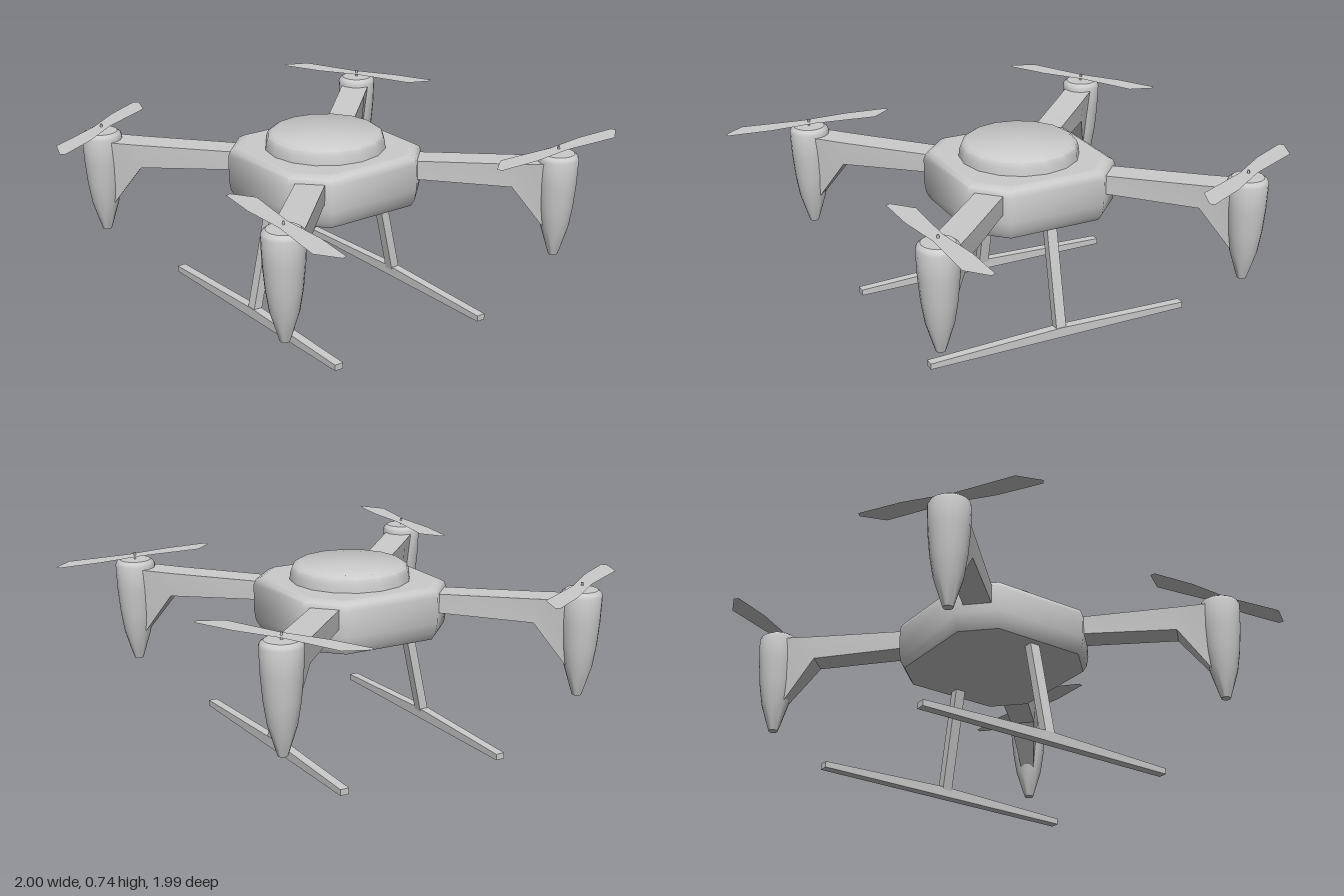
import * as THREE from 'three';
import { toCreasedNormals } from 'three/addons/utils/BufferGeometryUtils.js';

const material = new THREE.MeshStandardMaterial({ color: 0xcccccc });
const thin = new THREE.MeshStandardMaterial({ color: 0xcccccc, side: THREE.DoubleSide });

function add(parent, name, geometry, mat = material) {
  const mesh = new THREE.Mesh(geometry, mat);
  mesh.name = name;
  parent.add(mesh);
  return mesh;
}

// Closed solid through rings of [x, y, z] points, counterclockwise about the travel axis
function loft(rings, crease) {
  const n = rings[0].length, last = (rings.length - 1) * n, index = [];
  for (let j = 0; j < rings.length - 1; j++) {
    for (let i = 0; i < n; i++) {
      const a = j * n + i, b = j * n + (i + 1) % n;
      index.push(a, b, b + n, a, b + n, a + n);
    }
  }
  for (let i = 1; i < n - 1; i++) {
    index.push(0, i + 1, i, last, last + i, last + i + 1);
  }
  const g = new THREE.BufferGeometry();
  g.setAttribute('position', new THREE.Float32BufferAttribute(rings.flat(2), 3));
  g.setIndex(index);
  return toCreasedNormals(g, crease);
}

// Smooth turned part from [radius, height] pairs, bottom to top
function turned(profile, sides) {
  const points = profile.map(([r, y]) => new THREE.Vector2(r, y));
  return toCreasedNormals(new THREE.LatheGeometry(points, sides), 0.65);
}

// Square-cornered octagon ring for the hull
function octagon(h, y) {
  const f = h * 0.627;
  return [[h, f], [h, -f], [f, -h], [-f, -h], [-h, -f], [-h, f], [-f, h], [f, h]]
    .map(([x, z]) => [x, y, z]);
}

// Four-cornered section across the x axis, with separate bottom and top half widths
const section = (x, bottom, top, wBottom, wTop = wBottom) =>
  [[x, bottom, -wBottom], [x, top, -wTop], [x, top, wTop], [x, bottom, wBottom]];

// Flat two-bladed outline: one half, then the same half turned round
function propellerGeometry() {
  const half = [[-0.053, -0.17], [-0.053, -0.352], [-0.033, -0.36], [0.037, -0.28], [0.028, -0.02]];
  const outline = [...half, ...half.map(([x, z]) => [-x, -z])];
  const shape = new THREE.Shape(outline.map(([x, z]) => new THREE.Vector2(x, z)));
  return new THREE.ShapeGeometry(shape).rotateX(Math.PI / 2);
}

export function createModel() {
  const model = new THREE.Group();
  model.name = 'quadcopter';
  model.position.set(-0.031, 0, 0.024);

  // Hull with rounded upper rim, and the round cover on top
  const hull = [[0.315, 0.458], [0.329, 0.485], [0.335, 0.53], [0.335, 0.635],
    [0.327, 0.658], [0.306, 0.67], [0.29, 0.67]];
  add(model, 'hull', loft(hull.map(([h, y]) => octagon(h, y)), 0.9));
  add(model, 'topCover', turned(
    [[0.249, 0.66], [0.245, 0.7], [0.237, 0.722], [0.218, 0.735], [0, 0.735]], 16));

  // Arms with a fin running down the motor pod
  const armGeometry = loft([
    section(0.3, 0.566, 0.64, 0.058),
    section(0.765, 0.55, 0.65, 0.054, 0.06),
    section(0.9, 0.37, 0.655, 0.028, 0.06),
  ], 0.3);
  const podGeometry = turned([[0, 0.25], [0.019, 0.25], [0.028, 0.278], [0.056, 0.37],
    [0.07, 0.46], [0.079, 0.56], [0.083, 0.665], [0.078, 0.677], [0.065, 0.687], [0, 0.687]], 20);
  const shaftGeometry = new THREE.CylinderGeometry(0.005, 0.005, 0.03, 8);
  const bladeGeometry = propellerGeometry();

  // Each corner: side in x, side in z, propeller turn in degrees
  for (const [sx, sz, turn] of [[1, -1, 0], [-1, -1, 64], [1, 1, 97], [-1, 1, 150]]) {
    const corner = new THREE.Group();
    corner.name = (sz > 0 ? 'front' : 'back') + (sx > 0 ? 'Left' : 'Right') + 'Rotor';
    model.add(corner);
    add(corner, 'arm', armGeometry).rotation.y = Math.atan2(-sz, sx);
    const x = sx * 0.666, z = sz * 0.667;
    add(corner, 'motorPod', podGeometry).position.set(x, 0, z);
    add(corner, 'shaft', shaftGeometry).position.set(x, 0.7, z);
    const propeller = add(corner, 'propeller', bladeGeometry, thin);
    propeller.position.set(x, 0.703, z);
    propeller.rotation.y = -THREE.MathUtils.degToRad(turn);
  }

  // Landing gear: a splayed strut and a tapering skid at front and back
  const skidGeometry = loft([
    section(-0.582, 0, 0.025, 0.019),
    section(0, 0, 0.043, 0.019),
    section(0.582, 0, 0.025, 0.019),
  ], 0.3);
  const strutRing = (y, z) =>
    [[1, 1], [1, -1], [-1, -1], [-1, 1]].map(([i, k]) => [i * 0.022, y, z + k * 0.019]);
  for (const side of [1, -1]) {
    const gear = new THREE.Group();
    gear.name = side > 0 ? 'frontLandingGear' : 'backLandingGear';
    model.add(gear);
    add(gear, 'skid', skidGeometry).position.z = side * 0.361;
    add(gear, 'strut', loft([strutRing(0.03, side * 0.361), strutRing(0.47, side * 0.265)], 0.3));
  }
  return model;
}
